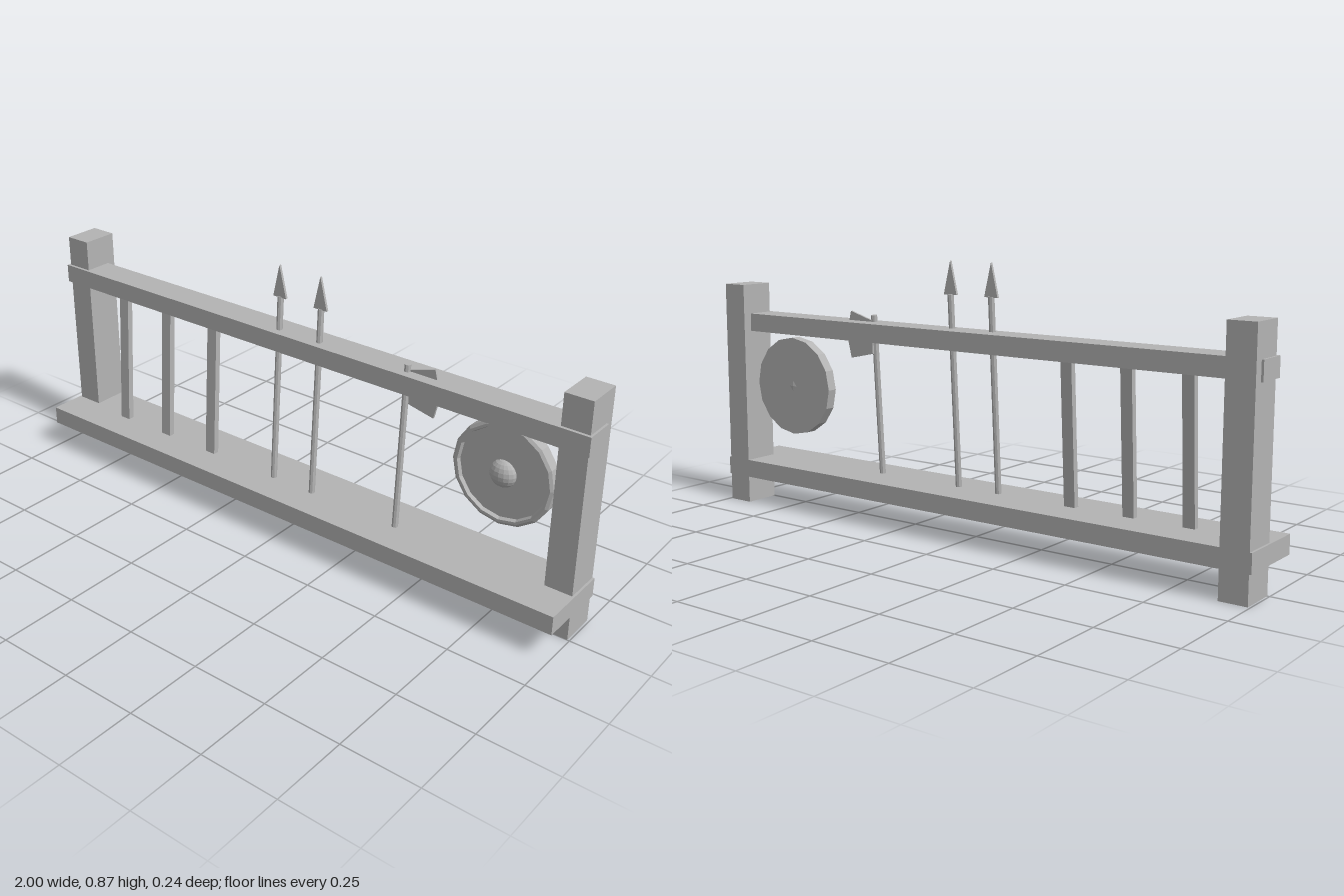
import * as THREE from 'three';

export function createModel() {
  const root = new THREE.Group();
  root.name = 'weaponRack';
  const grey = new THREE.MeshStandardMaterial({ color: 0xb4b4b4, flatShading: true });
  grey.name = 'plain grey';

  const add = (name, geometry, x = 0, y = 0, z = 0, parent = root) => {
    const mesh = new THREE.Mesh(geometry, grey);
    mesh.name = name;
    mesh.position.set(x, y, z);
    parent.add(mesh);
    return mesh;
  };
  const box = (w, h, d) => new THREE.BoxGeometry(w, h, d);

  // Thin plate cut from an outline in the front plane, centred on z
  const plate = (points, depth) => {
    const shape = new THREE.Shape(points.map(([x, y]) => new THREE.Vector2(x, y)));
    return new THREE.ExtrudeGeometry(shape, { depth, bevelEnabled: false }).translate(0, 0, -depth / 2);
  };

  // Weapons lean back from the shelf to the rail
  const leanZ = (y) => 0.009 - (y - 0.15) * 0.064;
  const leaning = (geometry, bottom, top) =>
    geometry.applyMatrix4(new THREE.Matrix4().makeRotationX(-Math.atan(0.064)))
      .translate(0, (bottom + top) / 2, leanZ((bottom + top) / 2));
  const pole = (bottom, top) =>
    leaning(new THREE.CylinderGeometry(0.01, 0.01, top - bottom, 8), bottom, top);

  // Frame
  for (const [side, name] of [[-1, 'rightPost'], [1, 'leftPost']]) {
    add(name, box(0.088, 0.76, 0.12), side * 0.949, 0.38, -0.06);
  }
  add('shelf', box(2, 0.06, 0.24), 0, 0.12, 0);
  add('rail', box(2, 0.06, 0.1), 0, 0.63, -0.04);

  // Swords with their tips through the shelf
  for (const x of [-0.75, -0.553, -0.35]) {
    const sword = new THREE.Group();
    sword.name = 'sword';
    sword.position.x = x;
    root.add(sword);
    add('blade', leaning(box(0.038, 0.5, 0.02), 0.13, 0.63), 0, 0, 0, sword);
    add('bladeTip', box(0.018, 0.06, 0.014), 0, 0.09, 0.003, sword);
  }

  // Spears
  for (const x of [-0.08, 0.076]) {
    const spear = new THREE.Group();
    spear.name = 'spear';
    spear.position.x = x;
    root.add(spear);
    add('spearShaft', pole(0.089, 0.768), 0, 0, 0, spear);
    add('spearHead', plate([[-0.025, 0.765], [0.025, 0.765], [0, 0.87]], 0.008), 0, 0, -0.029, spear);
  }

  // Axe
  const axe = new THREE.Group();
  axe.name = 'axe';
  axe.position.x = 0.397;
  root.add(axe);
  add('axeShaft', pole(0.089, 0.682), 0, 0, 0, axe);
  add('axeHead', plate([[0, 0.555], [0.093, 0.535], [0.112, 0.612], [0.093, 0.69], [0, 0.663]], 0.008),
    0, 0, -0.03, axe);

  // Round shield with raised rim and boss
  const shield = new THREE.Group();
  shield.name = 'shield';
  shield.position.set(0.718, 0.424, 0);
  root.add(shield);
  const profile = [[0, -0.08], [0.165, -0.08], [0.165, -0.046], [0.156, -0.04], [0.148, -0.04], [0.144, -0.052], [0, -0.052]];
  const disc = new THREE.LatheGeometry(profile.map(([r, y]) => new THREE.Vector2(r, y)), 16);
  add('shieldDisc', disc.rotateX(Math.PI / 2), 0, 0, 0, shield);
  add('shieldBoss', new THREE.SphereGeometry(0.043, 16, 10), 0, 0, -0.052, shield).scale.z = 0.7;

  return root;
}
